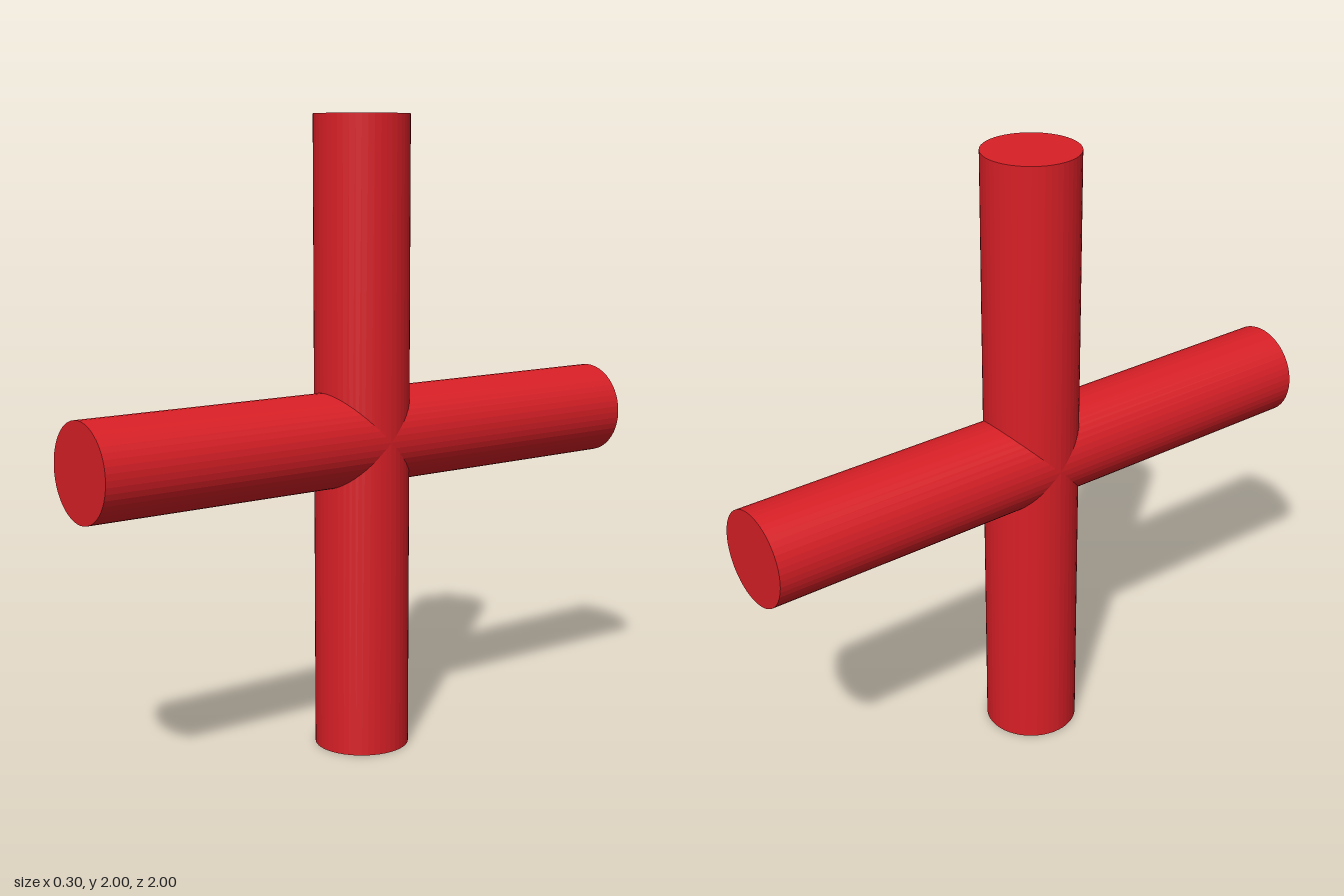
import * as THREE from 'three';

const RADIUS = 0.15;
const LENGTH = 2;
const SIDES = 48;

export function createModel() {
  const model = new THREE.Group();
  model.name = 'crossedRods';
  const red = new THREE.MeshStandardMaterial({ color: 0xd81f26, flatShading: true });
  const rodGeometry = new THREE.CylinderGeometry(RADIUS, RADIUS, LENGTH, SIDES);

  // Two equal round bars crossing at their middles
  const addRod = (name, tilt) => {
    const rod = new THREE.Mesh(rodGeometry, red);
    rod.name = name;
    rod.position.y = LENGTH / 2;
    rod.rotation.x = tilt;
    model.add(rod);
  };
  addRod('uprightRod', 0);
  addRod('crossRod', Math.PI / 2);

  return model;
}
